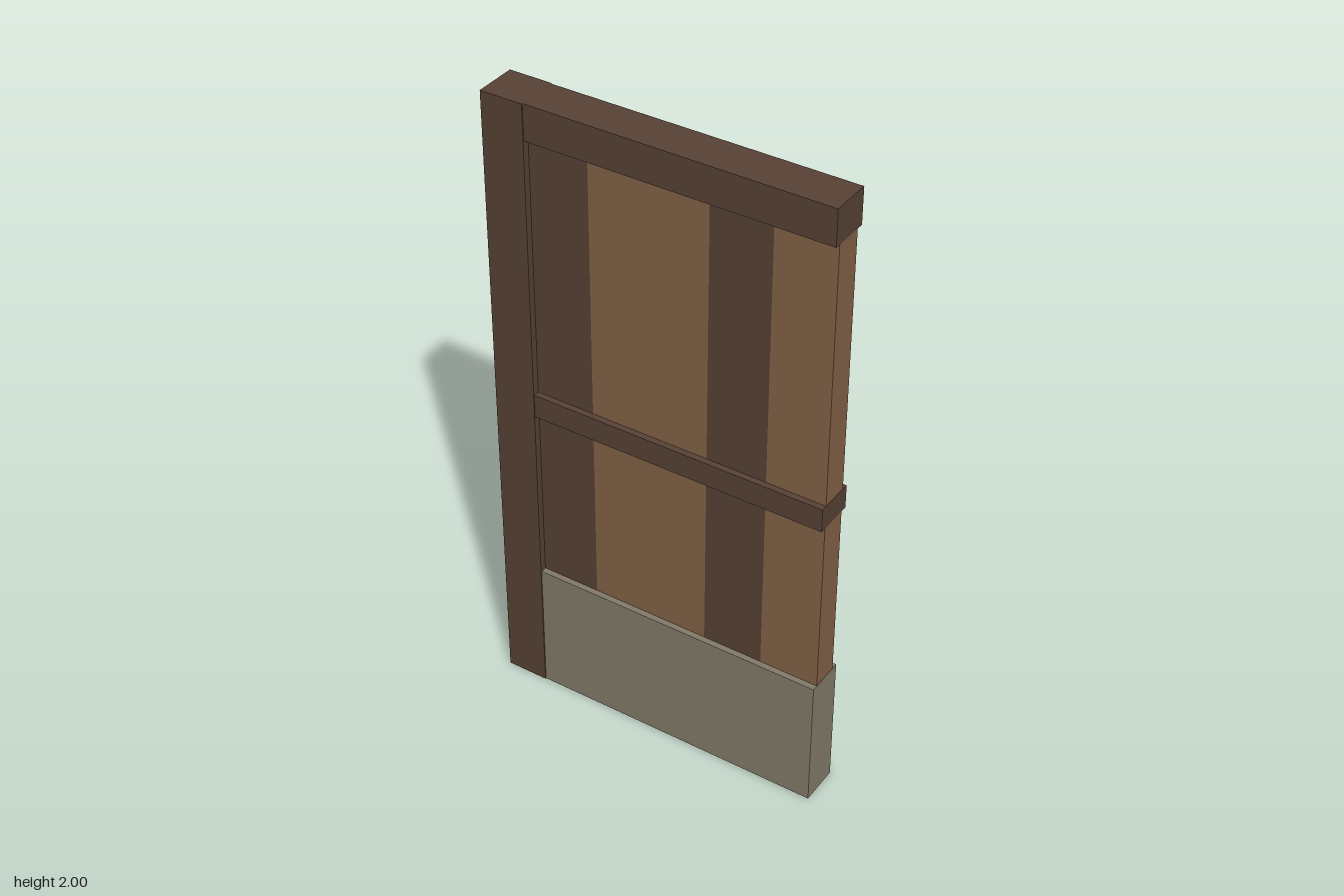
import * as THREE from 'three';

export function createModel() {
  const group = new THREE.Group();
  group.name = 'wallPanel';

  const material = (name, color) => {
    const m = new THREE.MeshStandardMaterial({ color });
    m.name = name;
    return m;
  };
  const darkWood = material('dark wood', 0x584235);
  const lightWood = material('light wood', 0x836247);
  const stone = material('stone', 0x837b6a);

  // Box given by its x and y limits, centred on z
  const block = (name, mat, x0, x1, y0, y1, depth) => {
    const mesh = new THREE.Mesh(new THREE.BoxGeometry(x1 - x0, y1 - y0, depth), mat);
    mesh.position.set((x0 + x1) / 2, (y0 + y1) / 2, 0);
    mesh.name = name;
    group.add(mesh);
  };

  const postEdge = -0.4;
  const end = 0.532;

  // Frame: one full-height post, a top beam and a middle rail
  block('post', darkWood, -0.533, postEdge, 0, 2, 0.132);
  block('topBeam', darkWood, postEdge, end, 1.89, 2, 0.126);
  block('middleRail', darkWood, postEdge, end, 1.0, 1.075, 0.126);

  // Stone footing
  block('stoneBase', stone, postEdge, end, 0, 0.43, 0.126);

  // Alternating planks, set back from the frame
  const edges = [postEdge, -0.214, 0.158, 0.346, end - 0.001];
  for (let i = 0; i < 4; i++) {
    block(`plank${i + 1}`, i % 2 ? lightWood : darkWood, edges[i], edges[i + 1], 0.43, 1.89, 0.088);
  }

  return group;
}
